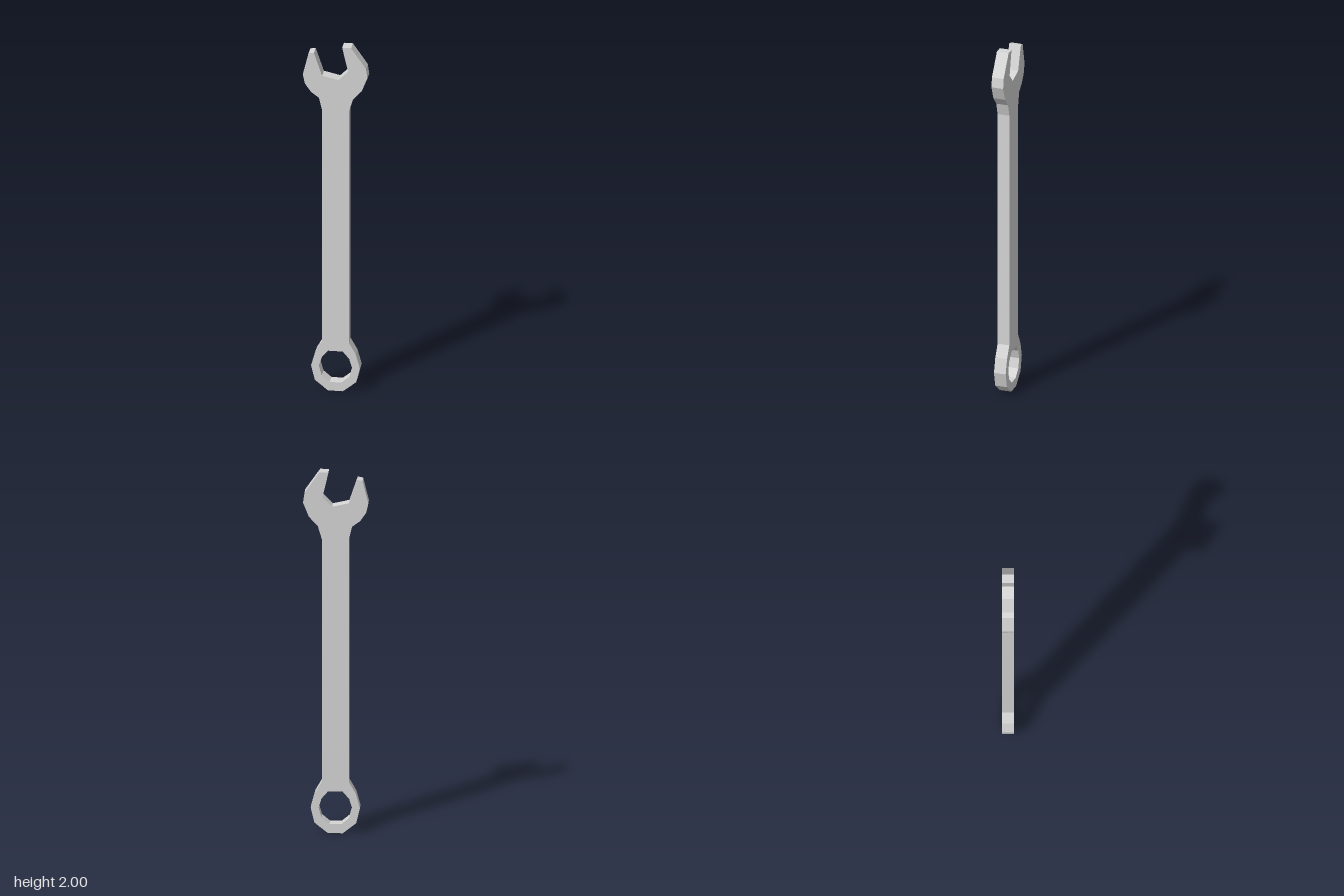
import * as THREE from 'three';

const DEPTH = 0.066;
const AXIS = 0.002; // centre line of handle and ring
const vec = (pts) => pts.map(([x, y]) => new THREE.Vector2(x, y));
const mirror = (pts) => pts.map(([x, y]) => [2 * AXIS - x, y]).reverse();

export function createModel() {
  const steel = new THREE.MeshStandardMaterial({ color: 0xd6d6d6 });
  steel.name = 'steel';
  steel.flatShading = true;

  // Open jaw, tilted: outer left side, mouth, outer right side
  const jaw = [
    [-0.087, 1.70], [-0.13, 1.732], [-0.162, 1.778], [-0.174, 1.83],
    [-0.143, 1.955], [-0.114, 1.96],
    [-0.07, 1.83], [0.018, 1.81], [0.07, 1.862],
    [0.038, 2], [0.086, 2],
    [0.166, 1.885], [0.174, 1.83], [0.143, 1.753], [0.095, 1.70],
  ];

  // Right edge of the handle and ring, from top to bottom
  const side = [
    [0.074, 1.63], [0.074, 0.285], [0.111, 0.22],
    [0.133, 0.14], [0.113, 0.057], [0.042, 0],
  ];

  // Ring opening, right half from bottom to top, so it winds against the outline
  const bore = [[0.033, 0.05], [0.076, 0.086], [0.091, 0.14], [0.076, 0.19], [0.041, 0.231]];

  const outline = new THREE.Shape(vec([...jaw, ...side, ...mirror(side)]));
  outline.holes.push(new THREE.Path(vec([...bore, ...mirror(bore)])));

  const geometry = new THREE.ExtrudeGeometry(outline, { depth: DEPTH, bevelEnabled: false });
  geometry.translate(0, 0, -DEPTH / 2);

  const body = new THREE.Mesh(geometry, steel);
  body.name = 'wrenchBody';

  const group = new THREE.Group();
  group.name = 'wrench';
  group.add(body);
  return group;
}
